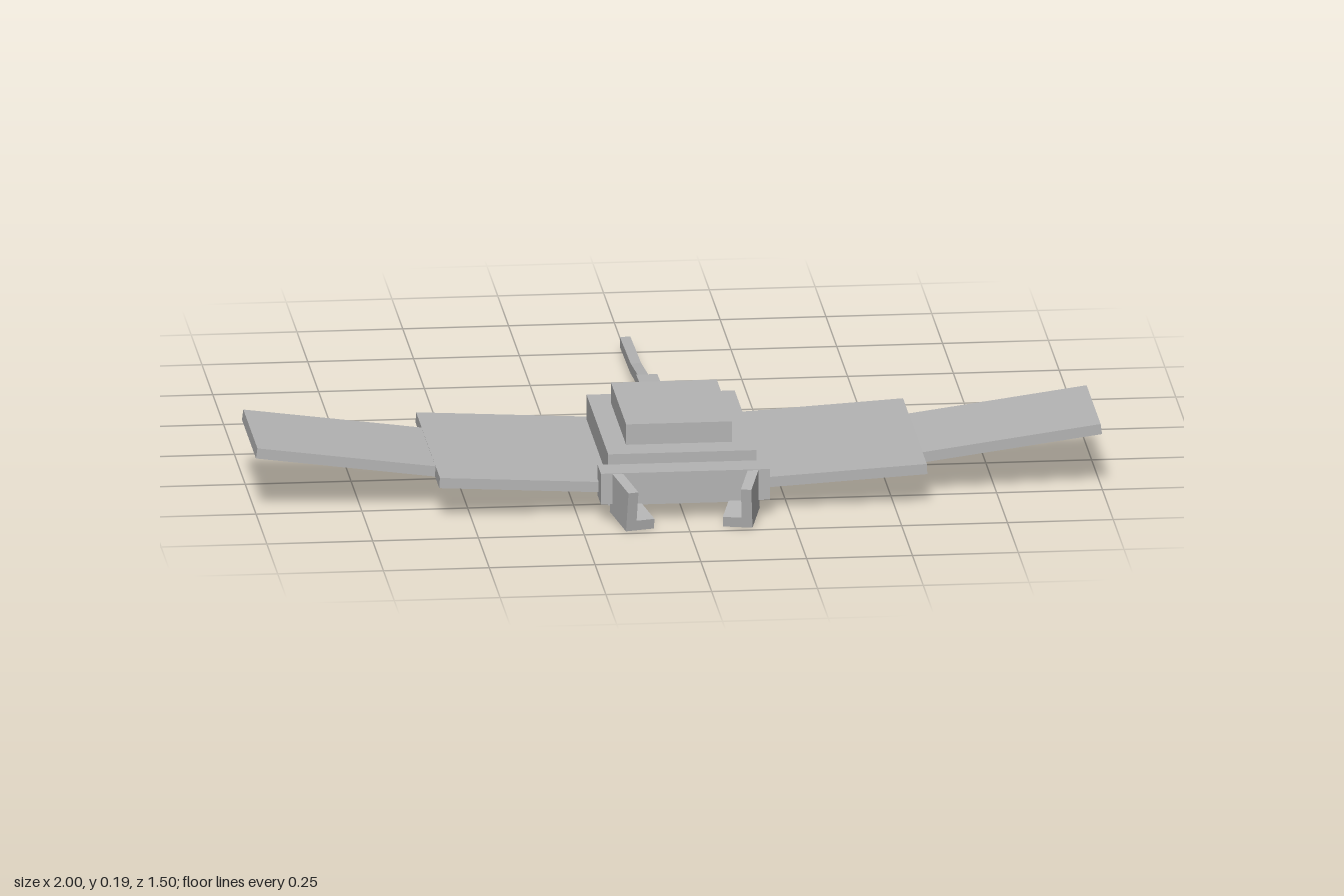
import * as THREE from 'three';

export function createModel() {
  const group = new THREE.Group();
  const skin = new THREE.MeshStandardMaterial({ color: 0xb4b4b4, flatShading: true });
  skin.name = 'grey skin';

  function box(name, parent, w, h, d, x, y, z) {
    const mesh = new THREE.Mesh(new THREE.BoxGeometry(w, h, d), skin);
    mesh.name = name;
    mesh.position.set(x, y, z);
    parent.add(mesh);
    return mesh;
  }

  // Body core, back hump, head and tail root
  box('body', group, 0.35, 0.125, 0.5, 0, 0.0825, 0.32);
  box('backHump', group, 0.25, 0.05, 0.35, 0, 0.17, 0.32);
  box('head', group, 0.4, 0.075, 0.075, 0, 0.0825, 0.6075);
  box('tailRoot', group, 0.2, 0.075, 0.1, 0, 0.0825, 0.02);

  // Tail: slanted segments as [name, thickness, z0, y0, z1, y1]
  const tail = [
    ['tailBase', 0.05, -0.02, 0.081, -0.252, 0.07],
    ['tailMiddle', 0.025, -0.245, 0.068, -0.5, 0.037],
    ['tailTip', 0.025, -0.495, 0.037, -0.75, 0.029],
  ];
  for (const [name, t, z0, y0, z1, y1] of tail) {
    const length = Math.hypot(z1 - z0, y1 - y0);
    const part = box(name, group, t, t, length, 0, (y0 + y1) / 2, (z0 + z1) / 2);
    part.rotation.x = Math.atan2(y0 - y1, z0 - z1) * -1;
  }

  // Wings: slanted panels as [name, depth, z, x0, y0, x1, y1]
  const wings = [
    ['innerWing', 0.55, 0.32, 0.165, 0.071, 0.576, 0.094],
    ['outerWing', 0.325, 0.3325, 0.574, 0.093, 0.998, 0.15],
  ];
  for (const side of [1, -1]) {
    for (const [name, depth, z, x0, y0, x1, y1] of wings) {
      const length = Math.hypot(x1 - x0, y1 - y0);
      const part = box(name, group, length, 0.025, depth, side * (x0 + x1) / 2, (y0 + y1) / 2, z);
      part.rotation.z = side * Math.atan2(y1 - y0, x1 - x0);
    }

    // L-shaped head fin, turned inward and tipped down
    const fin = new THREE.Group();
    fin.name = 'headFin';
    fin.position.set(side * 0.173, 0.119, 0.643);
    fin.rotation.set(0.17, -side * 0.26, 0, 'YXZ');
    box('finPlate', fin, 0.025, 0.075, 0.11, -side * 0.0125, -0.0375, 0.055);
    box('finFoot', fin, 0.07, 0.025, 0.11, -side * 0.035, -0.0865, 0.055);
    group.add(fin);
  }

  return group;
}
